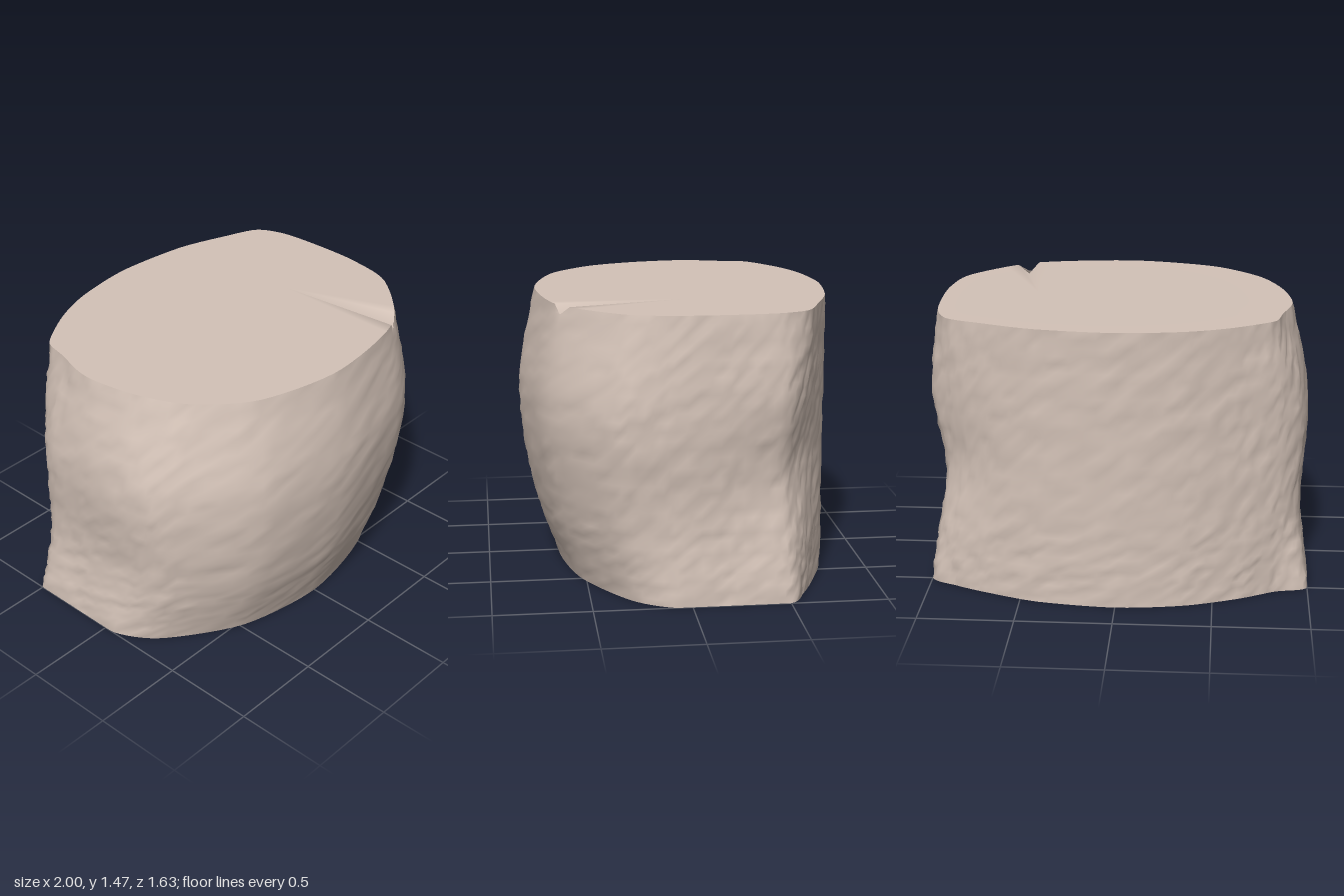
import * as THREE from 'three';

const HEIGHT = 1.47, AROUND = 120, ROWS = 36;

// Upright back of the trunk, the same at every height: [x, z] from -x to +x
const BACK = [[-.83, -.56], [-.63, -.665], [-.35, -.765], [0, -.81], [.4, -.765], [.68, -.67], [.86, -.59]];

// Sides and bulging front at four heights: [x, z] from the +x corner to the -x corner
const base = [[1, -.5], [1, -.2], [1, .08], [.86, .3], [.48, .53], [0, .62], [-.48, .53], [-.86, .28], [-1, .05], [-1, -.22], [-1, -.5]];
const waist = [[.96, -.48], [.965, -.2], [.97, .1], [.89, .37], [.54, .64], [0, .75], [-.52, .66], [-.87, .37], [-.95, .14], [-.955, -.18], [-.94, -.44]];
const belly = [[.985, -.48], [.99, -.2], [.995, .14], [.95, .39], [.6, .7], [0, .815], [-.54, .71], [-.89, .4], [-.975, .18], [-.985, -.14], [-.95, -.42]];
const rim = [[.93, -.44], [.95, -.2], [.945, .06], [.875, .33], [.55, .635], [0, .725], [-.46, .615], [-.72, .39], [-.84, .13], [-.89, -.15], [-.865, -.38]];

// Hollows worn into the back corners: centre, spread and depth
const HOLLOWS = [
  { at: new THREE.Vector3(.95, .68, -.52), spread: .3, depth: .07 },
  { at: new THREE.Vector3(-.83, HEIGHT, -.52), spread: .22, depth: .045 },
];

// Small seeded generator for the bark roughness
function seeded(seed) {
  return () => {
    seed = (seed * 1664525 + 1013904223) >>> 0;
    return seed / 4294967296;
  };
}

// Smooth closed outline at one height, sampled evenly by parameter
function outline(front, y) {
  const points = [...front, ...BACK].map(([x, z]) => new THREE.Vector3(x, y, z));
  const curve = new THREE.CatmullRomCurve3(points, true, 'catmullrom', 0.4);
  return Array.from({ length: AROUND }, (_, i) => curve.getPoint(i / AROUND));
}

// Push a point towards the trunk's axis where it lies in a hollow
function hollowOut(p) {
  for (const { at, spread, depth } of HOLLOWS) {
    const push = depth * Math.exp(-p.distanceToSquared(at) / (spread * spread));
    const k = 1 - push / Math.hypot(p.x, p.z);
    p.x *= k;
    p.z *= k;
  }
}

function makeGeometry(points, index) {
  const g = new THREE.BufferGeometry().setFromPoints(points);
  g.setIndex(index);
  g.computeVertexNormals();
  return g;
}

// Flat end: a fan from one point to a closed edge
function capGeometry(edge, centre, up) {
  const index = [];
  edge.forEach((_, i) => {
    const a = i + 1, b = (i + 1) % edge.length + 1;
    index.push(0, ...(up ? [b, a] : [a, b]));
  });
  return makeGeometry([centre, ...edge], index);
}

export function createModel() {
  const group = new THREE.Group();
  group.name = 'stump';
  const wood = new THREE.MeshStandardMaterial({ color: 0xd3c2b7 });
  wood.name = 'pale wood';

  // Smooth curves run up the trunk through the four outlines
  const rings = [outline(base, 0), outline(waist, 0.4), outline(belly, 0.95), outline(rim, HEIGHT)];
  const uprights = rings[0].map((_, i) => new THREE.CatmullRomCurve3(rings.map(r => r[i])));

  // Rows of points, slightly roughened between the two cut ends
  const random = seeded(7);
  const rows = Array.from({ length: ROWS + 1 }, (_, j) => uprights.map(curve => {
    const p = curve.getPoint(j / ROWS);
    const k = j > 0 && j < ROWS ? 1 + (random() - 0.5) * 0.014 : 1;
    p.x *= k;
    p.z *= k;
    hollowOut(p);
    p.x = THREE.MathUtils.clamp(p.x, -1, 1);
    return p;
  }));

  // Shallow crack where the cut top meets the rim
  const top = rows[ROWS], crack = new THREE.Vector3(0.57, HEIGHT, 0.63);
  const notch = top.reduce((a, b) => (b.distanceTo(crack) < a.distanceTo(crack) ? b : a));
  notch.y -= 0.06;

  // Bark wall
  const index = [];
  for (let j = 0; j < ROWS; j++) {
    for (let i = 0; i < AROUND; i++) {
      const a = j * AROUND + i, b = j * AROUND + (i + 1) % AROUND;
      const c = a + AROUND, d = b + AROUND;
      index.push(a, c, b, b, c, d);
    }
  }

  const parts = {
    barkWall: makeGeometry(rows.flat(), index),
    cutTop: capGeometry(top, new THREE.Vector3(0.46, HEIGHT, -0.03), true),
    cutBase: capGeometry(rows[0], new THREE.Vector3(0, 0, -0.1), false),
  };
  for (const [name, geometry] of Object.entries(parts)) {
    const mesh = new THREE.Mesh(geometry, wood);
    mesh.name = name;
    group.add(mesh);
  }
  return group;
}
